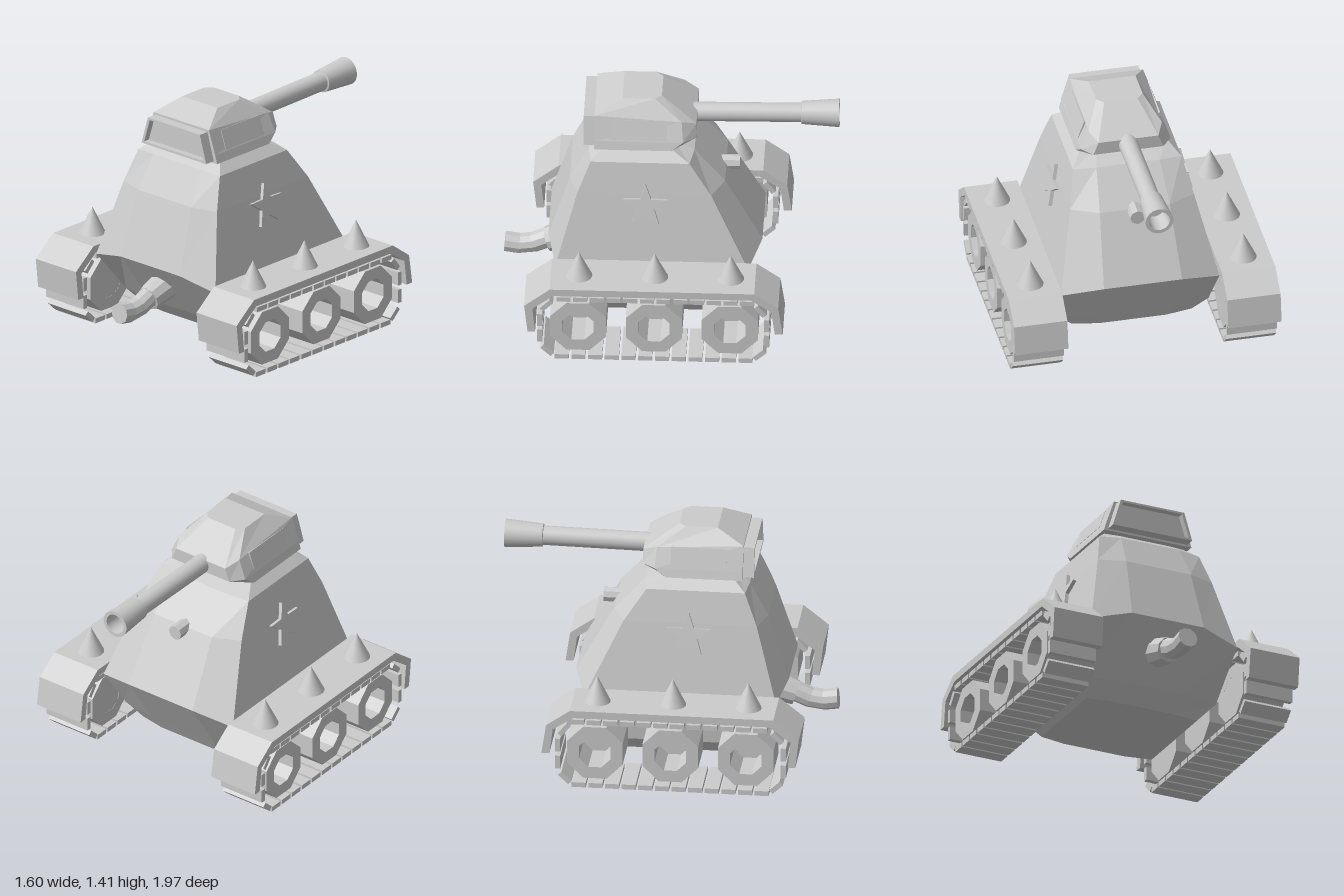
import * as THREE from 'three';

const flat = new THREE.MeshStandardMaterial({ color: 0xcccccc, flatShading: true });
const smooth = new THREE.MeshStandardMaterial({ color: 0xcccccc });
const flatDouble = new THREE.MeshStandardMaterial({ color: 0xcccccc, flatShading: true, side: THREE.DoubleSide });
const smoothDouble = new THREE.MeshStandardMaterial({ color: 0xcccccc, side: THREE.DoubleSide });

function add(parent, name, geometry, material, x = 0, y = 0, z = 0) {
  const mesh = new THREE.Mesh(geometry, material);
  mesh.name = name;
  mesh.position.set(x, y, z);
  parent.add(mesh);
  return mesh;
}

const polygon = (points) => new THREE.Shape(points.map(([a, b]) => new THREE.Vector2(a, b)));
const extrude = (shape, depth) => new THREE.ExtrudeGeometry(shape, { depth, bevelEnabled: false });
// shape drawn in (z, y), extruded across x and centred
const extrudeAcross = (shape, width) => extrude(shape, width).rotateY(-Math.PI / 2).translate(width / 2, 0, 0);

// closed solid through rings listed from bottom to top
function loft(rings) {
  const pos = [];
  const tri = (a, b, c) => pos.push(...a, ...b, ...c);
  const n = rings[0].length;
  for (let r = 0; r < rings.length - 1; r++) {
    const a = rings[r], b = rings[r + 1];
    for (let i = 0; i < n; i++) {
      const j = (i + 1) % n;
      tri(a[i], a[j], b[j]);
      tri(a[i], b[j], b[i]);
    }
  }
  const bottom = rings[0], top = rings[rings.length - 1];
  for (let i = 1; i < n - 1; i++) {
    tri(top[0], top[i], top[i + 1]);
    tri(bottom[0], bottom[i + 1], bottom[i]);
  }
  const g = new THREE.BufferGeometry();
  g.setAttribute('position', new THREE.Float32BufferAttribute(pos, 3));
  g.computeVertexNormals();
  return g;
}

// right half of a ring, then its mirror image
const mirrorRing = (half) => [...half, ...half.slice().reverse().map(([x, y, z]) => [-x, y, z])];

function buildHull(root) {
  // corner y, middle y, corner x, middle x, front corner/middle z, back corner/middle z
  const rows = [
    [0.08, 0.08, 0.36, 0.2, 0.35, 0.37, -0.25, -0.28],
    [0.175, 0.175, 0.45, 0.23, 0.42, 0.46, -0.3, -0.34],
    [0.45, 0.51, 0.475, 0.235, 0.65, 0.7, -0.48, -0.555],
    [0.9, 0.9, 0.372, 0.21, 0.525, 0.575, -0.26, -0.335],
    [1.09, 1.1, 0.325, 0.19, 0.45, 0.465, -0.13, -0.155],
    [1.15, 1.15, 0.26, 0.16, 0.38, 0.39, -0.02, -0.03],
  ];
  add(root, 'hull', loft(rows.map(([yc, ym, xc, xm, fc, fm, bc, bm]) =>
    mirrorRing([[xm, ym, fm], [xc, yc, fc], [xc, yc, bc], [xm, ym, bm]]))), flat);

  // raised star on each sloping side
  const star = polygon(Array.from({ length: 10 }, (_, i) => {
    const r = i % 2 ? 0.055 : 0.135, a = Math.PI / 2 + i * Math.PI / 5;
    return [r * Math.cos(a), r * Math.sin(a)];
  }));
  for (const s of [1, -1]) {
    const mesh = add(root, 'sideStar', extrude(star, 0.03), flat, s * 0.38, 0.83, 0.125);
    mesh.rotation.set(0, s * Math.PI / 2, s * 0.23, 'ZYX');
  }

  // small stub at the back
  add(root, 'rearStub', new THREE.CylinderGeometry(0.045, 0.045, 0.16, 8).rotateX(Math.PI / 2), flat, 0, 0.89, -0.335);
}

function buildExhaust(root) {
  const path = new THREE.CatmullRomCurve3([[0.38, 0.56], [0.32, 0.72], [0.275, 0.84], [0.288, 0.965]]
    .map(([y, z]) => new THREE.Vector3(0, y, z)));
  add(root, 'exhaustPipe', new THREE.TubeGeometry(path, 5, 0.062, 10), flatDouble);
  const cap = add(root, 'exhaustEnd', new THREE.CircleGeometry(0.062, 10), flatDouble, 0, 0.288, 0.965);
  cap.lookAt(new THREE.Vector3(0, 0.288, 0.965).add(path.getTangent(1)));
  const collar = add(root, 'exhaustCollar', new THREE.CylinderGeometry(0.075, 0.09, 0.16, 10), flat, 0, 0.335, 0.64);
  collar.rotation.x = Math.PI / 2 + 0.3;
}

function buildTurret(root) {
  const turret = new THREE.Group();
  turret.name = 'turret';
  root.add(turret);
  // front y, back y, side x, front z, chamfer z, back x, back z
  const rows = [
    [1.15, 1.15, 0.285, 0.43, -0.02, 0.2, -0.08],
    [1.2, 1.2, 0.27, 0.43, -0.09, 0.21, -0.165],
    [1.345, 1.28, 0.22, 0.43, -0.08, 0.18, -0.165],
    [1.42, 1.42, 0.14, 0.27, 0.08, 0.1, 0.04],
  ];
  add(turret, 'turretBody', loft(rows.map(([yf, yb, xs, zf, zc, xb, zb]) =>
    mirrorRing([[xs, yf, zf], [xs, (yf + yb) / 2, zc], [xb, yb, zb]]))), flat);

  // framed front window
  const trapezoid = (bx, by, tx, ty) => [[-bx, by], [bx, by], [tx, ty], [-tx, ty]];
  const frame = polygon(trapezoid(0.258, 1.162, 0.207, 1.332));
  frame.holes.push(polygon(trapezoid(0.236, 1.175, 0.192, 1.32)));
  add(turret, 'windowFrame', extrude(frame, 0.07), flat, 0, 0, 0.425);
  add(turret, 'windowPane', new THREE.ShapeGeometry(polygon(trapezoid(0.24, 1.17, 0.195, 1.325))), flatDouble, 0, 0, 0.455);

  // side window panels
  for (const s of [1, -1]) {
    const pane = add(turret, 'sideWindow', new THREE.BoxGeometry(0.012, 0.12, 0.33), flat, s * 0.243, 1.265, 0.17);
    pane.rotation.z = s * 0.33;
  }

  // gun, pointing backwards, with a hollow flared muzzle
  const gun = new THREE.Group();
  gun.name = 'gun';
  gun.position.set(0, 1.242, -0.14);
  gun.rotation.x = -Math.PI / 2 + 0.015;
  turret.add(gun);
  add(gun, 'barrel', new THREE.CylinderGeometry(0.057, 0.057, 0.66, 24), smooth, 0, 0.33, 0);
  const muzzle = [[0.05, 0.63], [0.068, 0.635], [0.084, 0.857], [0.062, 0.857], [0.055, 0.72], [0.001, 0.72]];
  for (let i = 0; i < muzzle.length - 1; i++) {
    const pair = [muzzle[i], muzzle[i + 1]].map(([r, y]) => new THREE.Vector2(r, y));
    add(gun, 'muzzle', new THREE.LatheGeometry(pair, 24), smoothDouble);
  }
}

function buildTrack(root, s) {
  const track = new THREE.Group();
  track.name = s > 0 ? 'leftTrack' : 'rightTrack';
  track.position.x = s * 0.64;
  root.add(track);

  // bent mudguard
  const guard = polygon([[0.8, 0.2], [0.82, 0.38], [0.67, 0.5], [-0.53, 0.5], [-0.67, 0.4], [-0.697, 0.22],
    [-0.65, 0.22], [-0.63, 0.375], [-0.51, 0.455], [0.65, 0.455], [0.772, 0.36], [0.755, 0.2]].reverse());
  add(track, 'mudguard', extrudeAcross(guard, 0.32), flat);

  // spikes and hollow octagonal wheels
  const octagon = (r) => Array.from({ length: 8 }, (_, i) => {
    const a = (i + 0.5) * Math.PI / 4;
    return [r * Math.cos(a), r * Math.sin(a)];
  });
  const rim = polygon(octagon(0.178));
  rim.holes.push(polygon(octagon(0.1)));
  for (const z of [0.505, 0.06, -0.385]) {
    add(track, 'spike', new THREE.ConeGeometry(0.08, 0.165, 24), smooth, 0, 0.58, z);
    add(track, 'wheel', extrudeAcross(rim, 0.27), flat, 0, 0.225, z);
    add(track, 'wheelHub', extrudeAcross(polygon(octagon(0.105)), 0.04), flat, -s * 0.114, 0.225, z);
  }

  // belt links: two straight runs and the turned ends, as [z, y, slope]
  const links = [];
  for (let i = 0; i < 12; i++) {
    const z = 0.6 - i * 0.098;
    links.push([z, 0.02, 0], [z - 0.01, 0.425, 0]);
  }
  const q = Math.PI / 2;
  links.push([0.685, 0.06, -0.75], [0.728, 0.165, q], [0.728, 0.275, q], [0.69, 0.378, 0.8]);
  links.push([-0.56, 0.06, 0.75], [-0.602, 0.16, q], [-0.602, 0.27, q], [-0.565, 0.37, -0.9]);
  const linkGeometry = new THREE.BoxGeometry(0.3, 0.03, 0.083);
  for (const [z, y, slope] of links) add(track, 'trackLink', linkGeometry, flat, 0, y, z).rotation.x = slope;
}

export function createModel() {
  const root = new THREE.Group();
  root.name = 'tank';
  buildHull(root);
  buildExhaust(root);
  buildTurret(root);
  for (const s of [1, -1]) buildTrack(root, s);
  return root;
}
